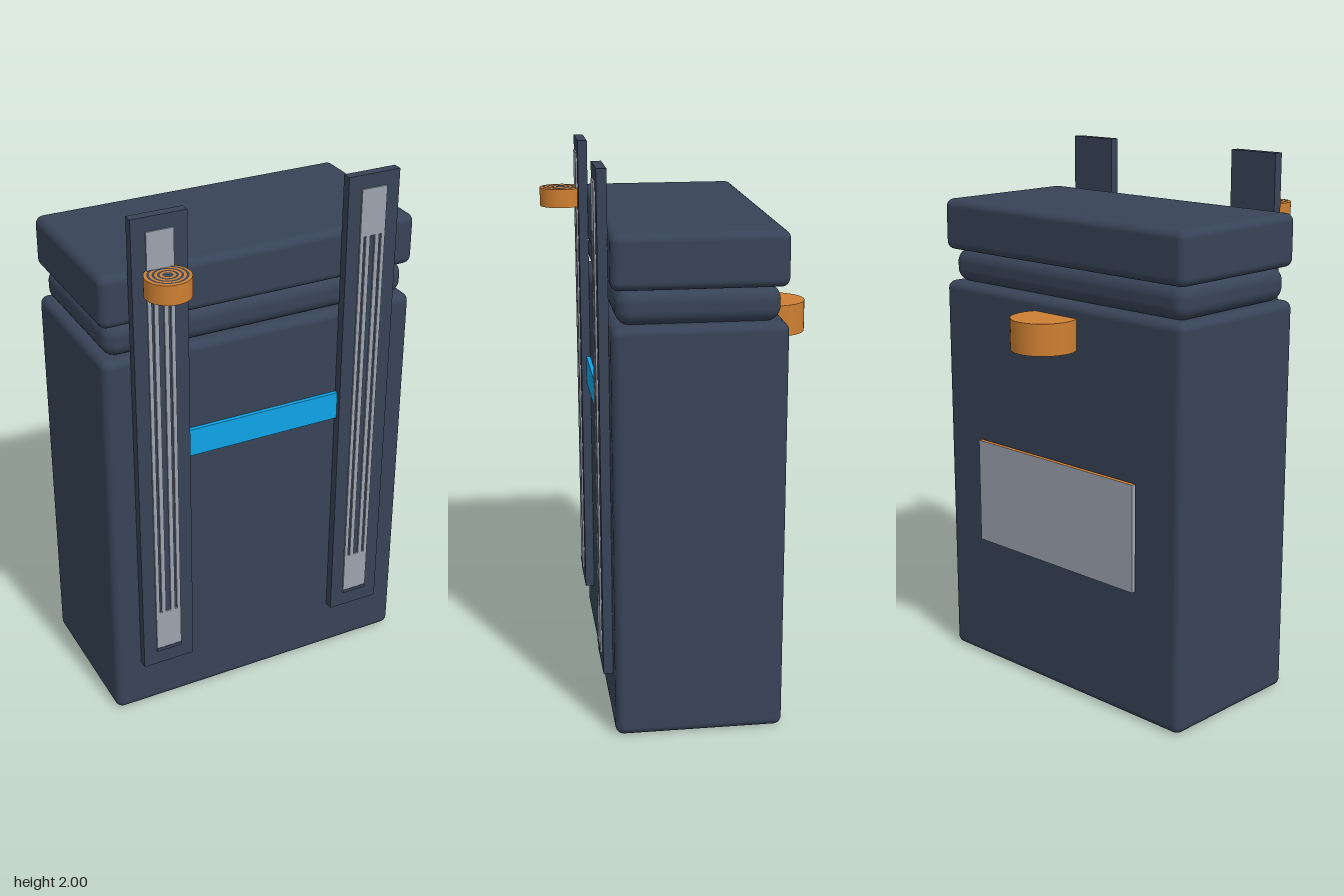
import * as THREE from 'three';
import { RoundedBoxGeometry } from 'three/addons/geometries/RoundedBoxGeometry.js';

const mat = (name, color) => {
  const m = new THREE.MeshStandardMaterial({ color });
  m.name = name;
  return m;
};

export function createModel() {
  const slate = mat('slate fabric', 0x374357);
  const grey = mat('grey webbing', 0x9ca3af);
  const bronze = mat('bronze', 0xcd7f32);
  const blue = mat('blue band', 0x0ea5e9);
  const model = new THREE.Group();
  model.name = 'backpack';

  const add = (parent, name, geometry, material, x, y, z) => {
    const mesh = new THREE.Mesh(geometry, material);
    mesh.name = name;
    mesh.position.set(x, y, z);
    parent.add(mesh);
    return mesh;
  };
  const box = (w, h, d) => new THREE.BoxGeometry(w, h, d);

  // Main bag, rolled collar and lid
  add(model, 'body', new RoundedBoxGeometry(1.2, 1.49, 0.6, 4, 0.03), slate, 0, 0.745, 0);
  add(model, 'collarRoll', new RoundedBoxGeometry(1.16, 0.125, 0.56, 5, 0.05), slate, 0, 1.55, 0.003);
  add(model, 'lid', new RoundedBoxGeometry(1.2, 0.19, 0.6, 4, 0.03), slate, 0, 1.705, 0);

  // Slotted grey webbing plate, local y measured from the floor
  const plate = new THREE.Shape();
  plate.moveTo(-0.049, 0.26).lineTo(0.049, 0.26).lineTo(0.049, 1.95).lineTo(-0.049, 1.95).closePath();
  const slot = (x0, x1) => {
    const hole = new THREE.Path();
    hole.moveTo(x0, 0.435).lineTo(x0, 1.775).lineTo(x1, 1.775).lineTo(x1, 0.435).closePath();
    plate.holes.push(hole);
  };
  slot(-0.035, -0.026);
  slot(-0.01, 0.01);
  slot(0.026, 0.035);
  const webbing = new THREE.ExtrudeGeometry(plate, { depth: 0.007, bevelEnabled: false });

  // Pair of shoulder straps
  for (const side of [-1, 1]) {
    const strap = new THREE.Group();
    strap.name = side > 0 ? 'leftStrap' : 'rightStrap';
    strap.position.x = side * 0.4;
    add(strap, 'strapPad', box(0.2, 1.8, 0.035), slate, 0, 1.1, 0.3165);
    add(strap, 'strapWebbing', webbing, grey, 0, 0, 0.333);
    add(strap, 'webbingHem', box(0.098, 0.014, 0.005), slate, 0, 0.267, 0.339);
    model.add(strap);
  }

  // Chest band between the straps
  add(model, 'chestBand', box(0.6, 0.105, 0.02), blue, 0, 1.113, 0.305);

  // Ringed dial on the right strap
  const dial = new THREE.Group();
  dial.name = 'dial';
  dial.position.set(-0.4, 1.78, 0.395);
  add(dial, 'dialBody', new THREE.CylinderGeometry(0.08, 0.08, 0.07, 48), bronze, 0, 0, 0);
  for (let i = 0; i < 4; i++) {
    const r = 0.014 + i * 0.017;
    const ring = new THREE.RingGeometry(i ? r - 0.004 : 0, r + 0.004, 40);
    add(dial, 'dialGroove', ring, slate, 0, 0.0365, 0).rotation.x = -Math.PI / 2;
  }
  model.add(dial);

  // Round grip set into the back
  add(model, 'backGrip', new THREE.CylinderGeometry(0.12, 0.12, 0.115, 48), bronze, 0, 1.383, -0.357);

  // Back panel: grey faces with bronze upper and lower edges
  add(model, 'backPanel', box(0.8, 0.4, 0.017), [grey, grey, bronze, bronze, grey, grey], 0, 0.7, -0.317);

  return model;
}
